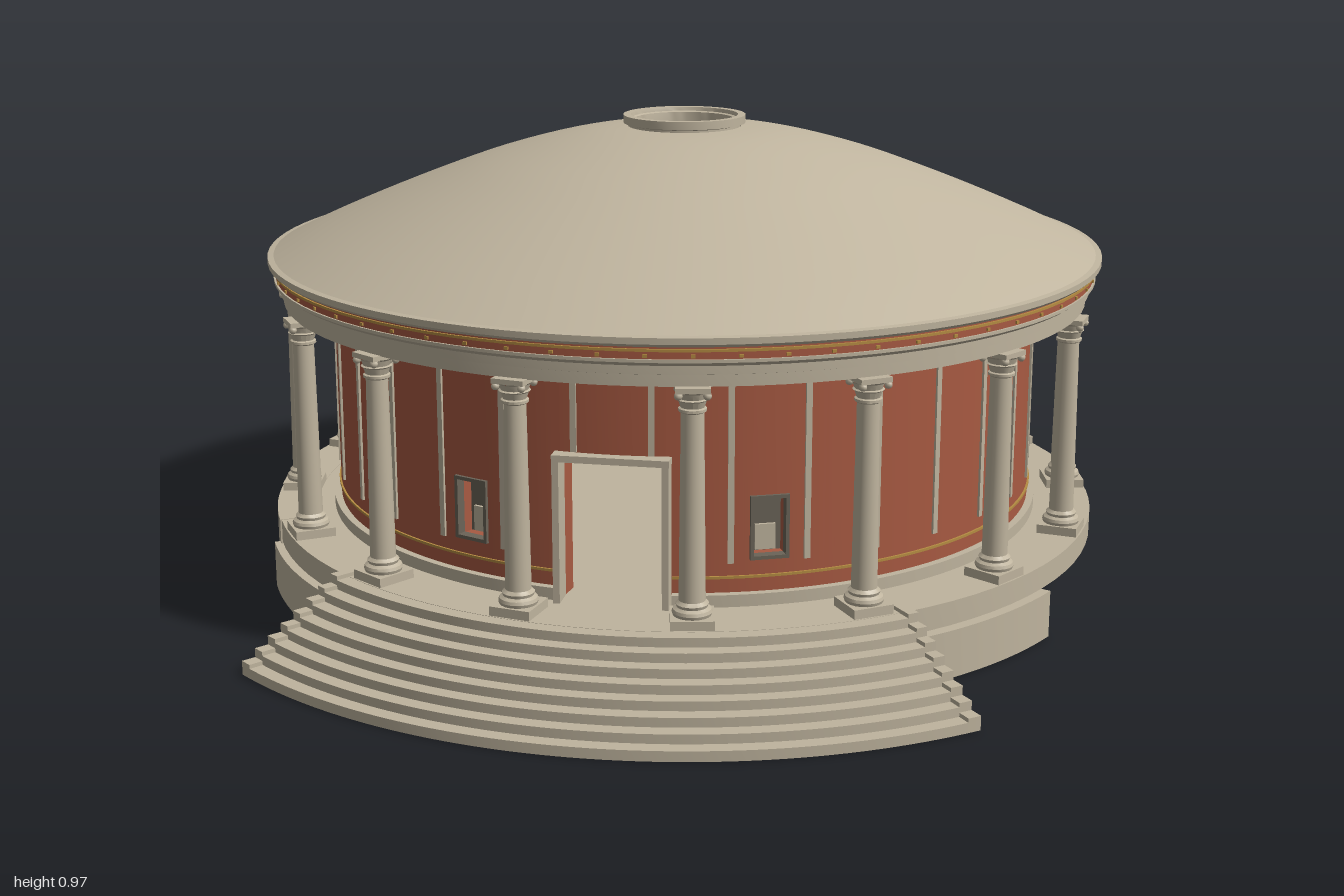
import * as THREE from 'three';
import { toCreasedNormals } from 'three/addons/utils/BufferGeometryUtils.js';

const D = Math.PI / 180;
const mat = (name, color, side = THREE.FrontSide) => {
  const m = new THREE.MeshStandardMaterial({ color, side });
  m.name = name;
  return m;
};

export function createModel() {
  const stone = mat('stone', 0xbfb49e);
  const shell = mat('roof stone', 0xc0b59f, THREE.DoubleSide);
  const red = mat('terracotta', 0xa85a42);
  const gold = mat('gold', 0xb58c42);
  const blue = mat('dark blue', 0x22385c);
  const navy = mat('navy', 0x161c2c);
  const grey = mat('dark grey', 0x6b6458);

  const model = new THREE.Group();
  const temple = new THREE.Group();
  temple.name = 'rotunda';
  temple.position.z = -0.115;
  model.add(temple);

  const add = (name, geo, material, parent = temple) => {
    const m = new THREE.Mesh(geo, material);
    m.name = name;
    parent.add(m);
    return m;
  };
  // Ring of revolution with crisp edges; points are [radius, height]
  const lathe = (pts, seg = 96, crease = 30) => toCreasedNormals(
    new THREE.LatheGeometry(pts.map(p => new THREE.Vector2(p[0], p[1])), seg), crease * D);
  // Part of a ring; azimuth in degrees from the front (+z) towards +x
  const sector = (r0, r1, y0, y1, a0, a1) => {
    const s = new THREE.Shape();
    const t0 = (a0 - 90) * D, t1 = (a1 - 90) * D;
    s.absarc(0, 0, r1, t0, t1, false);
    s.absarc(0, 0, r0, t1, t0, true);
    const g = new THREE.ExtrudeGeometry(s, {
      depth: y1 - y0, bevelEnabled: false, curveSegments: Math.max(2, Math.ceil((a1 - a0) / 3)),
    });
    g.rotateX(-Math.PI / 2);
    g.translate(0, y0, 0);
    return toCreasedNormals(g, 20 * D);
  };
  const box = (w, h, d, x, y, z) => new THREE.BoxGeometry(w, h, d).translate(x, y, z);
  const place = (m, a, r, y = 0) => {
    m.position.set(r * Math.sin(a * D), y, r * Math.cos(a * D));
    m.rotation.y = a * D;
    return m;
  };

  // Platform with recessed underside
  add('platform', lathe([[0, 0.09], [0.70, 0.09], [0.70, 0.055], [0.775, 0.055], [0.775, 0.1],
    [0.885, 0.1], [0.885, 0.148], [0, 0.148]]), stone);
  add('tallFoundationWall', sector(0.80, 0.888, 0.012, 0.149, -180, -63), stone);
  add('lowFoundationRight', sector(0.81, 0.90, 0, 0.096, -64, -37), stone);
  add('lowFoundationLeft', sector(0.81, 0.90, 0, 0.096, 37, 64), stone);

  // Curved stairs with stepped cheeks
  const stairs = new THREE.Group();
  stairs.name = 'stairs';
  temple.add(stairs);
  for (let i = 0; i < 8; i++) {
    const r = 1.115 - 0.0288 * i, top = 0.02 + 0.0182 * i;
    add('step', sector(r - 0.058, r, Math.max(0, top - 0.03), top, -37.2, 37.2), stone, stairs);
    for (const s of [-1, 1]) {
      const a = s * 37.9;
      add('stairCheek', sector(r - 0.05, r, Math.max(0, top - 0.032), top + 0.008, a - 0.7, a + 0.7), stone, stairs);
    }
  }

  // Wall with front door, back door and two windows
  const wall = new THREE.Group();
  wall.name = 'wall';
  temple.add(wall);
  const R0 = 0.69, R = 0.75, Y0 = 0.148, Y1 = 0.61;
  const openings = [
    [-22.5, 2.5, 0.24, 0.355], [0, 7.7, Y0, 0.43], [22.5, 2.5, 0.24, 0.355], [180, 3.1, Y0, 0.3],
  ];
  let from = -176.9;
  for (const [a, h, lo, hi] of openings) {
    add('wallPart', sector(R0, R, Y0, Y1, from, a - h), red, wall);
    add('wallAboveOpening', sector(R0, R, hi, Y1, a - h, a + h), red, wall);
    if (lo > Y0) add('wallBelowOpening', sector(R0, R, Y0, lo, a - h, a + h), red, wall);
    from = a + h;
  }

  // Wall plinth and gold lines, interrupted at the doors
  for (const s of [-1, 1]) {
    const span = (lo, hi) => s > 0 ? [lo, hi] : [-hi, -lo];
    add('wallPlinth', sector(0.72, 0.765, Y0, 0.172, ...span(8.5, 176.9)), stone);
    add('lowerGoldLine', sector(0.745, 0.754, 0.2, 0.205, ...span(8.5, 176.5)), gold);
  }
  add('upperGoldLine', lathe([[0.749, 0.582], [0.755, 0.582], [0.755, 0.588], [0.749, 0.588]]), gold);

  // Thin vertical wall strips
  for (let i = 0; i < 32; i++) {
    const a = 5.625 + 11.25 * i;
    const lo = Math.cos(a * D) > 0.99 ? 0.44 : 0.23;
    place(add('wallStrip', box(0.012, 0.58 - lo, 0.009, 0, (0.58 + lo) / 2, 0), stone), a, 0.75);
  }

  // Windows: recessed pane, light lower panel and frame
  for (const a of [-22.5, 22.5]) {
    const w = new THREE.Group();
    w.name = 'window';
    temple.add(w);
    place(w, a, 0.75);
    add('pane', box(0.07, 0.12, 0.006, 0, 0.298, -0.04), grey, w);
    add('lowerPanel', box(0.04, 0.05, 0.006, 0, 0.268, -0.033), stone, w);
    for (const s of [-1, 1]) {
      add('windowJamb', box(0.007, 0.125, 0.02, s * 0.034, 0.298, -0.004), grey, w);
      add('windowRail', box(0.075, 0.007, 0.02, 0, 0.298 + s * 0.059, -0.004), grey, w);
    }
  }

  // Front door frame
  for (const s of [-1, 1]) add('doorPost', box(0.013, 0.285, 0.05, s * 0.104, 0.29, 0.748), stone);
  add('doorLintel', box(0.222, 0.013, 0.05, 0, 0.432, 0.748), stone);

  // Sixteen columns sharing the same parts
  const columnParts = [
    ['plinth', box(0.082, 0.018, 0.082, 0, 0.157, 0)],
    ['base', lathe([[0.036, 0.166], [0.038, 0.172], [0.036, 0.178], [0.029, 0.182], [0.031, 0.188], [0.025, 0.194]], 20)],
    ['shaft', new THREE.CylinderGeometry(0.021, 0.025, 0.37, 20, 1, true).translate(0, 0.377, 0)],
    ['capital', lathe([[0.021, 0.55], [0.026, 0.553], [0.026, 0.558], [0.022, 0.56], [0.026, 0.572],
      [0.03, 0.575], [0.026, 0.577], [0.03, 0.588], [0.036, 0.592]], 16)],
    ['abacus', box(0.064, 0.01, 0.064, 0, 0.596, 0)],
  ];
  const volute = new THREE.SphereGeometry(0.008, 8, 6);
  for (let i = 0; i < 16; i++) {
    const column = new THREE.Group();
    column.name = 'column';
    temple.add(column);
    place(column, 11.25 + 22.5 * i, 0.84);
    for (const [name, geo] of columnParts) add(name, geo, stone, column);
    for (const sx of [-1, 1]) for (const sz of [-1, 1]) {
      add('volute', volute, stone, column).position.set(sx * 0.026, 0.586, sz * 0.026);
    }
  }

  // Entablature: beam, painted frieze and cornice
  add('entablature', lathe([[0.69, 0.607], [0.80, 0.607], [0.80, 0.6], [0.855, 0.6], [0.855, 0.622],
    [0.862, 0.624], [0.862, 0.64], [0.874, 0.648], [0.874, 0.654], [0.865, 0.654]]), stone);
  add('frieze', lathe([[0.87, 0.653], [0.87, 0.677]]), red);
  add('friezeLine', lathe([[0.869, 0.668], [0.874, 0.668], [0.874, 0.673], [0.869, 0.673]]), gold);
  const stud = box(0.008, 0.006, 0.006, 0, 0.66, 0);
  for (let i = 0; i < 64; i++) place(add('friezeStud', stud, gold), i * 5.625, 0.87);
  add('cornice', lathe([[0.865, 0.676], [0.878, 0.678], [0.885, 0.684], [0.885, 0.696], [0.87, 0.698]]), stone);

  // Domed roof
  const profile = [[0.88, 0.694], [0.78, 0.741], [0.655, 0.795], [0.53, 0.845], [0.42, 0.885],
    [0.31, 0.917], [0.23, 0.935], [0.17, 0.944], [0.12, 0.948]].map(p => new THREE.Vector2(p[0], p[1]));
  const curve = new THREE.SplineCurve(profile);
  add('roof', new THREE.LatheGeometry(curve.getPoints(24), 96), shell);

  // Oculus collar with a rosette set inside
  add('oculusCollar', lathe([[0.118, 0.943], [0.118, 0.952], [0.13, 0.955], [0.13, 0.972], [0.114, 0.972],
    [0.112, 0.964], [0.106, 0.962], [0.106, 0.92]], 48), stone);
  add('oculusDisc', new THREE.CylinderGeometry(0.107, 0.107, 0.006, 48).translate(0, 0.925, 0), blue);
  for (let i = 0; i < 16; i++) {
    const rib = add('oculusRib', box(i % 2 ? 0.006 : 0.012, 0.008, 0.07, 0, 0.93, 0), i % 2 ? gold : navy);
    place(rib, i * 22.5, 0.07);
    if (i % 2) rib.scale.x = 0.5;
  }
  const disc = (r, y) => new THREE.CylinderGeometry(r, r, 0.006, 32).translate(0, y, 0);
  add('rosetteRim', disc(0.04, 0.932), gold);
  add('rosetteField', disc(0.033, 0.934), navy);
  for (let i = 0; i < 8; i++) place(add('rosettePetal', box(0.008, 0.006, 0.022, 0, 0.936, 0), i % 2 ? red : gold), i * 45, 0.02);
  add('rosetteCentre', disc(0.012, 0.938), gold);

  return model;
}
